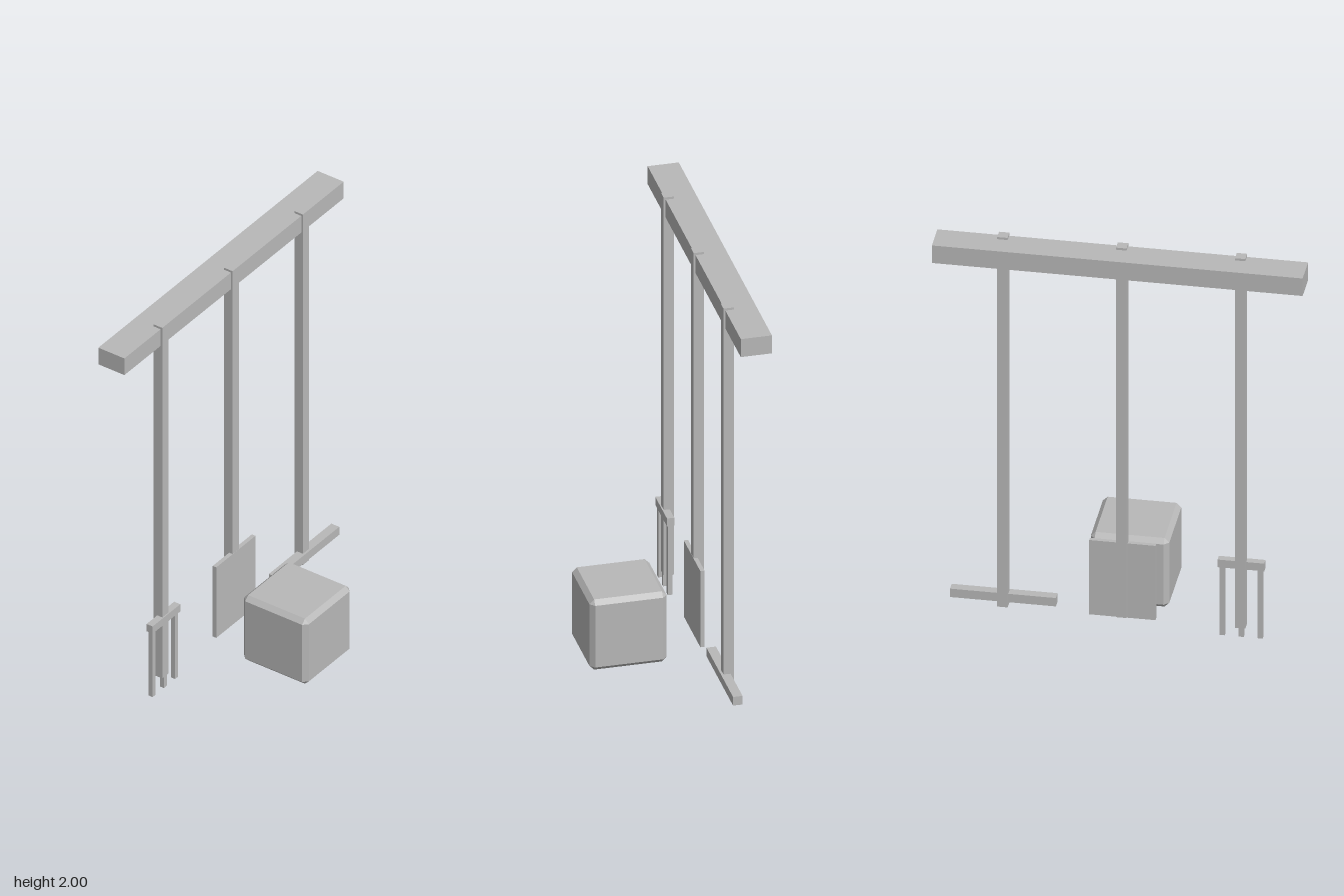
import * as THREE from 'three';
import { ConvexGeometry } from 'three/addons/geometries/ConvexGeometry.js';

const gray = new THREE.MeshStandardMaterial({ color: 0xb8b8b8 });
gray.name = 'plain gray';

function box(parent, name, [w, h, d], [x, y, z]) {
  const mesh = new THREE.Mesh(new THREE.BoxGeometry(w, h, d), gray);
  mesh.name = name;
  mesh.position.set(x, y, z);
  parent.add(mesh);
  return mesh;
}

// Cube with every edge and corner cut flat
function chamferedCube(size, bevel) {
  const h = size / 2, i = h - bevel, points = [];
  for (const sx of [-1, 1]) for (const sy of [-1, 1]) for (const sz of [-1, 1]) {
    points.push(
      new THREE.Vector3(sx * h, sy * i, sz * i),
      new THREE.Vector3(sx * i, sy * h, sz * i),
      new THREE.Vector3(sx * i, sy * i, sz * h));
  }
  return new ConvexGeometry(points);
}

// A tool group with its long square handle
function tool(name, x) {
  const group = new THREE.Group();
  group.name = name;
  group.position.x = x;
  box(group, 'handle', [0.048, 1.94, 0.048], [0, 1.03, -0.207]);
  return group;
}

export function createModel() {
  const model = new THREE.Group();
  model.name = 'toolRack';

  // Rail the tools hang from
  box(model, 'rail', [1.7, 0.092, 0.145], [0, 1.943, -0.2645]);

  // Fork with three tines
  const fork = tool('fork', -0.545);
  box(fork, 'forkCrossbar', [0.214, 0.04, 0.034], [0, 0.378, -0.194]);
  for (const x of [-0.087, 0, 0.087]) {
    box(fork, 'tine', [0.024, 0.37, 0.022], [x, 0.185, -0.194]);
  }

  // Spade with a flat blade
  const spade = tool('spade', 0);
  box(spade, 'blade', [0.304, 0.39, 0.02], [0, 0.24, -0.192]);

  // Rake with a wide head
  const rake = tool('rake', 0.545);
  box(rake, 'rakeHead', [0.485, 0.044, 0.044], [0, 0.101, -0.194]);

  // Chamfered block on the ground in front
  const block = new THREE.Mesh(chamferedCube(0.36, 0.022), gray);
  block.name = 'block';
  block.position.set(0, 0.18, 0.157);

  model.add(fork, spade, rake, block);
  return model;
}
